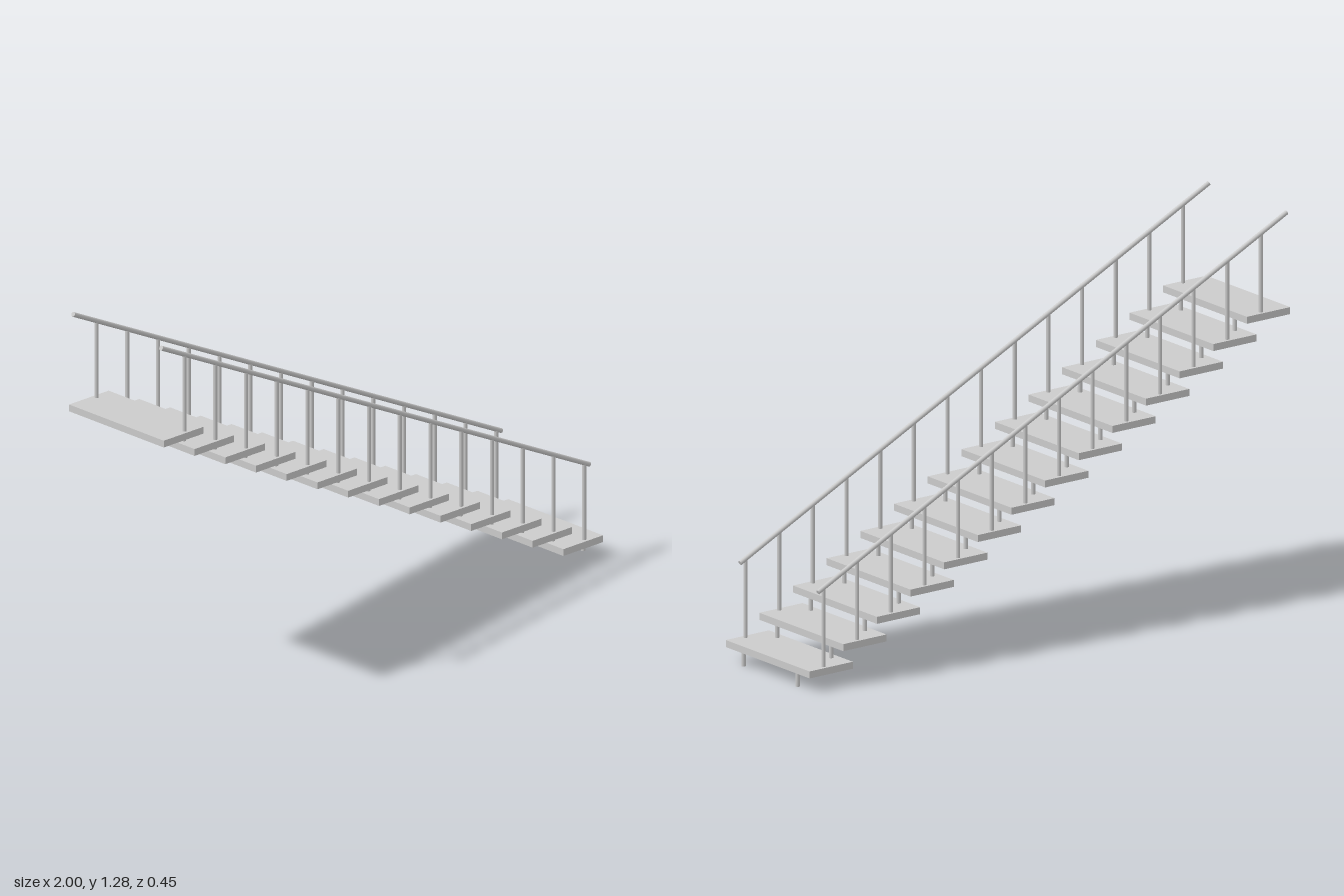
import * as THREE from 'three';

const STEPS = 14, RUN = 0.14, RISE = 0.0677;
const TREAD = { length: 0.18, thick: 0.024, width: 0.45 };
const LEG_Z = 0.145, RAIL_Z = 0.209;

// Centre height of the handrail at a given x
const railY = x => 1.276 - (RISE / RUN) * (x + 1);

export function createModel() {
  const group = new THREE.Group();
  group.name = 'staircase';
  const material = new THREE.MeshStandardMaterial({ color: 0xcccccc });

  // Round bar between two points
  function bar(name, a, b, radius) {
    const dir = b.clone().sub(a);
    const mesh = new THREE.Mesh(new THREE.CylinderGeometry(radius, radius, dir.length(), 16), material);
    mesh.name = name;
    mesh.position.copy(a).add(b).multiplyScalar(0.5);
    mesh.quaternion.setFromUnitVectors(new THREE.Vector3(0, 1, 0), dir.normalize());
    group.add(mesh);
  }

  const treadGeometry = new THREE.BoxGeometry(TREAD.length, TREAD.thick, TREAD.width);

  for (let i = 0; i < STEPS; i++) {
    const x = 0.91 - i * RUN, y = 0.06 + i * RISE;
    const top = y + TREAD.thick / 2, bottom = y - TREAD.thick / 2;

    // Tread
    const tread = new THREE.Mesh(treadGeometry, material);
    tread.name = 'tread';
    tread.position.set(x, y, 0);
    group.add(tread);

    for (const side of [-1, 1]) {
      // Short leg down to the tread below, or to the floor
      const legX = x + 0.078, legZ = side * LEG_Z;
      const foot = i === 0 ? 0 : top - RISE;
      bar('leg', new THREE.Vector3(legX, foot, legZ), new THREE.Vector3(legX, bottom, legZ), 0.0075);

      // Baluster up to the handrail
      const postX = x + 0.02, postZ = side * RAIL_Z;
      bar('baluster', new THREE.Vector3(postX, top, postZ), new THREE.Vector3(postX, railY(postX), postZ), 0.007);
    }
  }

  // Sloping handrails
  for (const side of [-1, 1]) {
    const x0 = -0.997, x1 = 0.953;
    bar('handrail', new THREE.Vector3(x0, railY(x0), side * RAIL_Z),
      new THREE.Vector3(x1, railY(x1), side * RAIL_Z), 0.008);
  }

  return group;
}
